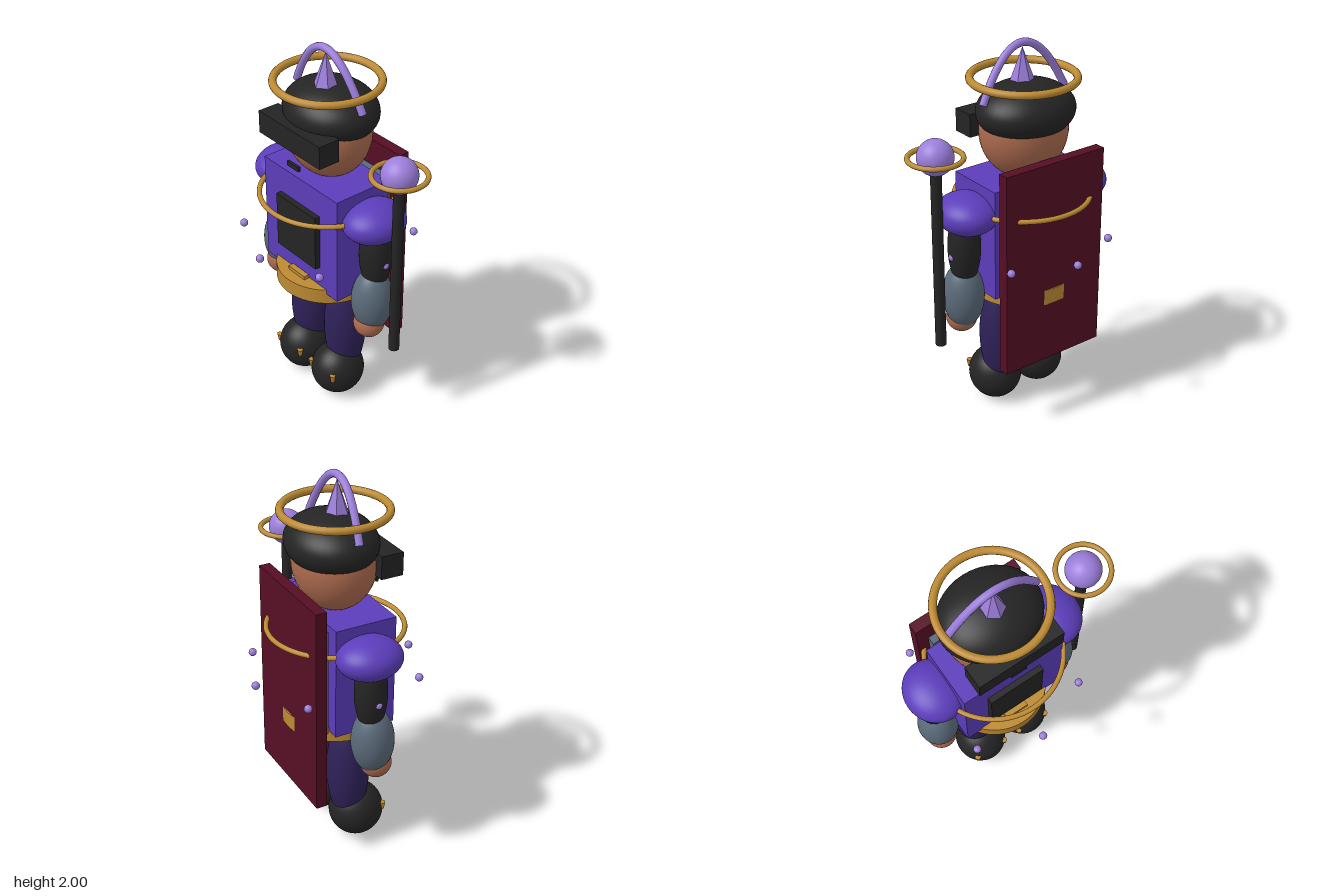
import * as THREE from 'three';

const mat = (name, color, flatShading = false) => {
  const m = new THREE.MeshStandardMaterial({ color, flatShading });
  m.name = name;
  return m;
};

export function createModel() {
  const model = new THREE.Group();
  model.name = 'staffBearer';
  const purple = mat('royal purple', 0x5c3dbb);
  const indigo = mat('dark indigo', 0x2f2159);
  const black = mat('black', 0x242424);
  const skin = mat('skin', 0xac6a4e);
  const gold = mat('gold', 0xbd8a32);
  const lilac = mat('lilac', 0x9c7edb);
  const slate = mat('slate', 0x5a6a79);
  const maroon = mat('maroon', 0x560e24);

  // The figure stands left of centre to leave room for the staff
  const figure = new THREE.Group();
  figure.name = 'figure';
  figure.position.x = -0.088;
  model.add(figure);

  const add = (name, geometry, material, x, y, z, parent = figure) => {
    const mesh = new THREE.Mesh(geometry, material);
    mesh.name = name;
    mesh.position.set(x, y, z);
    parent.add(mesh);
    return mesh;
  };
  const box = (name, material, w, h, d, x, y, z) =>
    add(name, new THREE.BoxGeometry(w, h, d), material, x, y, z);
  const ball = (name, material, rx, ry, rz, x, y, z, parent) =>
    add(name, new THREE.SphereGeometry(1, 40, 28).scale(rx, ry, rz), material, x, y, z, parent);
  const ring = (name, material, radius, tube, x, y, z, parent) =>
    add(name, new THREE.TorusGeometry(radius, tube, 12, 72).rotateX(Math.PI / 2), material, x, y, z, parent);

  // Head, hair, visor and face
  ball('head', skin, 0.235, 0.25, 0.205, 0, 1.55, -0.005);
  ball('hair', black, 0.262, 0.147, 0.225, 0, 1.653, -0.02);
  box('visor', black, 0.47, 0.12, 0.12, 0, 1.57, 0.183);
  box('mouth', black, 0.09, 0.025, 0.015, 0, 1.413, 0.215);

  // Headdress: halo, spike and arch
  ring('halo', gold, 0.263, 0.02, 0, 1.81, 0);
  add('crownSpike', new THREE.ConeGeometry(0.065, 0.18, 6).toNonIndexed(), lilac, 0, 1.87, 0.01)
    .geometry.computeVertexNormals();
  const arch = new THREE.QuadraticBezierCurve3(
    new THREE.Vector3(-0.25, 1.72, -0.008),
    new THREE.Vector3(0, 2.24, 0.035),
    new THREE.Vector3(0.25, 1.72, -0.008));
  const archMaterial = lilac.clone();
  archMaterial.side = THREE.DoubleSide;
  add('crownArch', new THREE.TubeGeometry(arch, 40, 0.02, 10), archMaterial, 0, 0, 0);

  // Torso with front and back panels
  box('torso', purple, 0.575, 0.59, 0.33, 0, 1.03, 0.016);
  box('chestPanel', black, 0.31, 0.305, 0.04, 0, 1.028, 0.192);
  box('backPanel', black, 0.31, 0.42, 0.03, 0, 0.97, -0.155);
  box('backPack', slate, 0.48, 0.57, 0.045, 0, 1.02, -0.186);
  box('backShield', maroon, 0.605, 1.1, 0.058, 0, 0.9, -0.234);
  ring('chestRing', gold, 0.345, 0.013, 0, 1.195, 0.004);

  // Belt and hips
  add('belt', new THREE.CylinderGeometry(0.273, 0.273, 0.084, 48), gold, 0, 0.718, 0.002);
  box('buckle', gold, 0.13, 0.13, 0.03, 0, 0.715, 0.2);
  ball('hips', black, 0.21, 0.14, 0.145, 0, 0.7, 0);

  // Paired parts
  for (const s of [-1, 1]) {
    const side = s > 0 ? 'left' : 'right';
    ball(side + 'Eye', slate, 0.03, 0.024, 0.02, s * 0.08, 1.522, 0.195);
    ball(side + 'Shoulder', purple, 0.15, 0.103, 0.169, s * 0.352, 1.182, -0.002);
    ball(side + 'UpperArm', black, 0.085, 0.22, 0.082, s * 0.368, 1.0, 0);
    ball(side + 'Forearm', slate, 0.107, 0.18, 0.11, s * 0.368, 0.72, 0.015);
    ball(side + 'Hand', skin, 0.081, 0.081, 0.081, s * 0.368, 0.585, 0.035);
    ball(side + 'Leg', indigo, 0.112, 0.32, 0.111, s * 0.141, 0.42, 0.005);
    ball(side + 'Boot', black, 0.14, 0.148, 0.145, s * 0.141, 0.148, 0.055);
    for (const d of [-0.09, 0.09])
      add(side + 'BootStud', new THREE.CylinderGeometry(0.018, 0.01, 0.042, 6), gold,
        s * 0.141 + d, 0.175, 0.165);
  }

  // Orbiting beads
  for (let i = 0; i < 8; i++) {
    const a = i * Math.PI / 4;
    add('orbitBead', new THREE.SphereGeometry(0.021, 10, 8), lilac,
      0.44 * Math.sin(a), 0.963, 0.44 * Math.cos(a));
  }

  // Staff
  const staff = new THREE.Group();
  staff.name = 'staff';
  staff.position.x = 0.436;
  model.add(staff);
  add('staffPole', new THREE.CylinderGeometry(0.028, 0.028, 0.98, 20), black, 0, 0.98, 0, staff);
  ball('staffOrb', lilac, 0.091, 0.091, 0.091, 0, 1.523, 0, staff);
  ring('staffRing', gold, 0.134, 0.013, 0, 1.52, 0, staff);

  return model;
}
